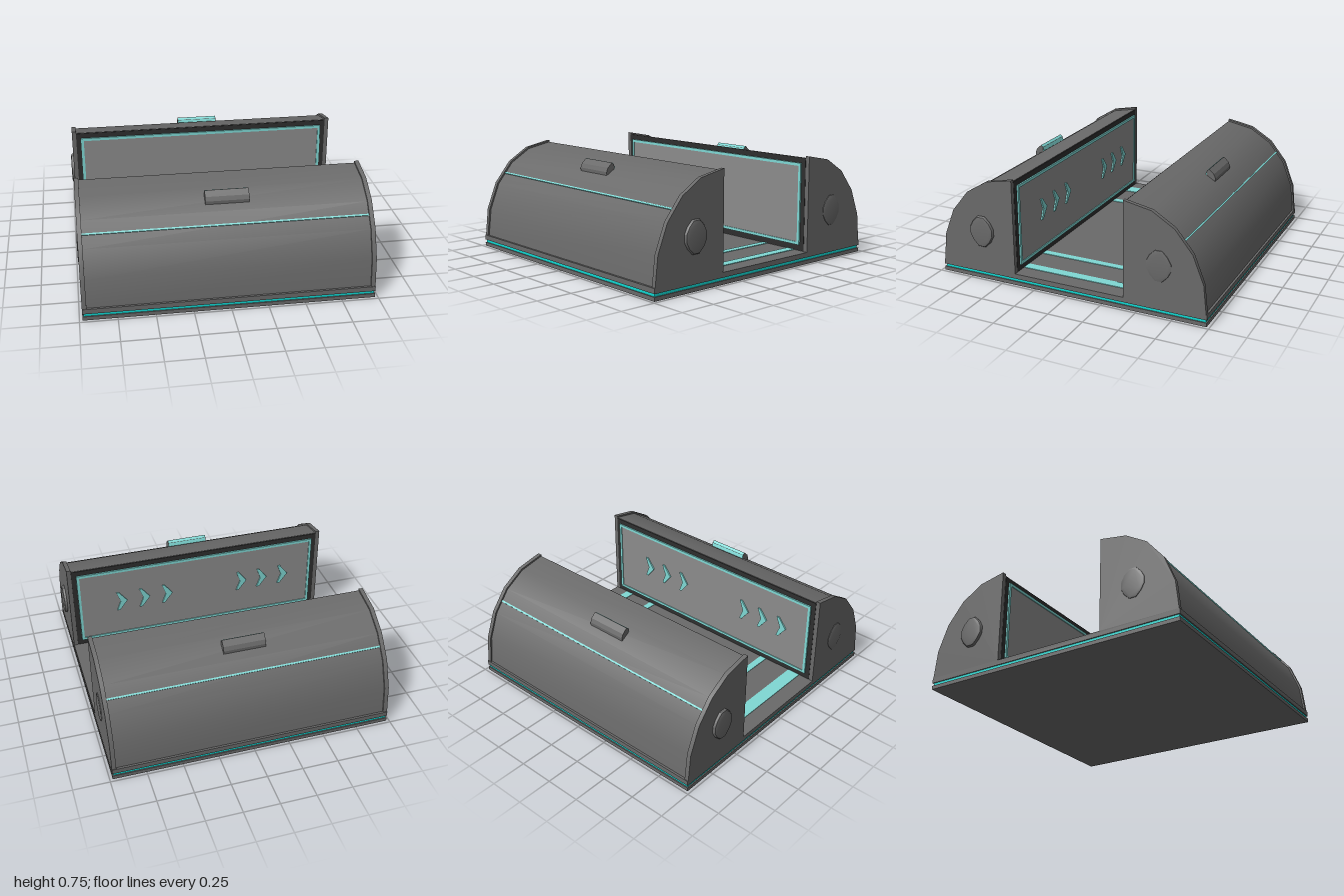
import * as THREE from 'three';
import { toCreasedNormals } from 'three/addons/utils/BufferGeometryUtils.js';

const mat = (color) => new THREE.MeshStandardMaterial({ color });
const grey = mat(0x6a6a6a), dark = mat(0x2e2e2e), light = mat(0x8c8c8c);
const teal = mat(0x7fd8d4), brightTeal = mat(0x12d6d0);

function add(parent, name, geometry, material) {
  const mesh = new THREE.Mesh(geometry, material);
  mesh.name = name;
  parent.add(mesh);
  return mesh;
}

// Box given by its minimum and maximum corners
function box(parent, name, material, [x0, y0, z0], [x1, y1, z1]) {
  const mesh = add(parent, name, new THREE.BoxGeometry(x1 - x0, y1 - y0, z1 - z0), material);
  mesh.position.set((x0 + x1) / 2, (y0 + y1) / 2, (z0 + z1) / 2);
  return mesh;
}

const toShape = (pts) => new THREE.Shape(pts.map(([a, b]) => new THREE.Vector2(a, b)));

// Extrude a (z, y) profile along x from x0 to x1
function extrudeX(pts, x0, x1, crease = 0.5) {
  const g = new THREE.ExtrudeGeometry(toShape(pts), { depth: x1 - x0, bevelEnabled: false });
  g.rotateY(-Math.PI / 2).translate(x1, 0, 0);
  return toCreasedNormals(g, crease);
}

// Flat rectangular frame facing z
function frame(x, y0, y1, width, z0, z1) {
  const s = toShape([[-x, y0], [x, y0], [x, y1], [-x, y1]]);
  const w = width;
  s.holes.push(new THREE.Path([[-x + w, y0 + w], [-x + w, y1 - w], [x - w, y1 - w], [x - w, y0 + w]]
    .map(([a, b]) => new THREE.Vector2(a, b))));
  return new THREE.ExtrudeGeometry(s, { depth: z1 - z0, bevelEnabled: false }).translate(0, 0, z0);
}

const capProfile = [[0.405, 0.08], [0.975, 0.08], [0.953, 0.28], [0.877, 0.47],
  [0.755, 0.62], [0.60, 0.715], [0.405, 0.753]];
const bodyProfile = [[0.408, 0.08], [0.965, 0.08], [0.942, 0.278], [0.868, 0.463],
  [0.748, 0.61], [0.597, 0.703], [0.408, 0.74]];

// Lobed, bevelled knob standing out along +x
function knobGeometry() {
  const q = [[0.07, 0.02], [0.05, 0.058], [0.018, 0.09]];
  const pts = [...q, ...q.map(([a, b]) => [-a, b]).reverse(),
    ...q.map(([a, b]) => [-a, -b]), ...q.map(([a, b]) => [a, -b]).reverse()];
  const g = new THREE.ExtrudeGeometry(toShape(pts), {
    depth: 0.012, bevelThickness: 0.012, bevelSize: 0.02, bevelSegments: 2 });
  return toCreasedNormals(g.rotateY(Math.PI / 2), 0.7);
}

// One curved housing, built on the +z side
function housing(name) {
  const h = new THREE.Group();
  h.name = name;
  add(h, 'shell', extrudeX(bodyProfile, -0.955, 0.955), grey);
  for (const s of [-1, 1]) {
    add(h, 'endCap', extrudeX(capProfile, s > 0 ? 0.95 : -0.98, s > 0 ? 0.98 : -0.95), grey);
    const knob = add(h, 'sideKnob', knobGeometry(), grey);
    if (s < 0) knob.rotation.y = Math.PI;
    knob.position.set(s > 0 ? 0.976 : -0.962, 0.352, 0.65);
  }

  // Glowing line along the curved face
  const line = box(h, 'glowLine', teal, [-0.955, -0.006, -0.006], [0.955, 0.006, 0.006]);
  line.position.set(0, 0.538, 0.807);
  line.rotation.x = 0.69;

  // Grip with its glowing inner edge
  add(h, 'grip', extrudeX([[0.64, 0.66], [0.70, 0.63], [0.702, 0.662], [0.69, 0.69],
    [0.655, 0.722], [0.638, 0.708]], -0.135, 0.16, 0.3), grey);
  add(h, 'gripGlow', extrudeX([[0.628, 0.675], [0.638, 0.67], [0.652, 0.722], [0.64, 0.712]],
    -0.133, 0.158, 0.3), teal);

  // Inner face: dark border, glowing frame, light panel
  add(h, 'innerBorder', frame(0.95, 0.085, 0.737, 0.06, 0.403, 0.41), dark);
  add(h, 'innerGlowFrame', frame(0.915, 0.125, 0.70, 0.02, 0.392, 0.408), teal);
  box(h, 'innerPanel', light, [-0.9, 0.14, 0.398], [0.9, 0.685, 0.409]);
  return h;
}

export function createModel() {
  const model = new THREE.Group();
  model.name = 'model';

  // Layered base
  const base = new THREE.Group();
  base.name = 'base';
  model.add(base);
  box(base, 'bottomPlate', grey, [-0.98, 0, -0.98], [0.98, 0.027, 0.98]);
  box(base, 'glowLayer', brightTeal, [-0.972, 0.027, -0.972], [0.972, 0.047, 0.972]);
  box(base, 'topPlate', grey, [-0.98, 0.047, -0.98], [0.98, 0.082, 0.98]);
  for (const [x0, x1] of [[-0.865, -0.77], [-0.565, -0.515], [0.56, 0.61], [0.80, 0.865]])
    box(base, 'floorStripe', teal, [x0, 0.07, -0.42], [x1, 0.086, 0.42]);

  // Two housings, the rear one turned half round
  const front = housing('frontHousing');
  const rear = housing('rearHousing');
  rear.rotation.y = Math.PI;
  model.add(front, rear);

  // Arrow marks on the inner face of the front housing, pointing to -x
  const arrow = toShape([[-0.045, 0], [0.015, 0.078], [0.035, 0.078], [0.005, 0],
    [0.035, -0.078], [0.015, -0.078]]);
  for (const x of [-0.68, -0.51, -0.345, 0.245, 0.42, 0.595]) {
    const g = new THREE.ExtrudeGeometry(arrow, { depth: 0.014, bevelEnabled: false });
    add(front, 'arrowMark', g, teal).position.set(x, 0.425, 0.388);
  }
  return model;
}
